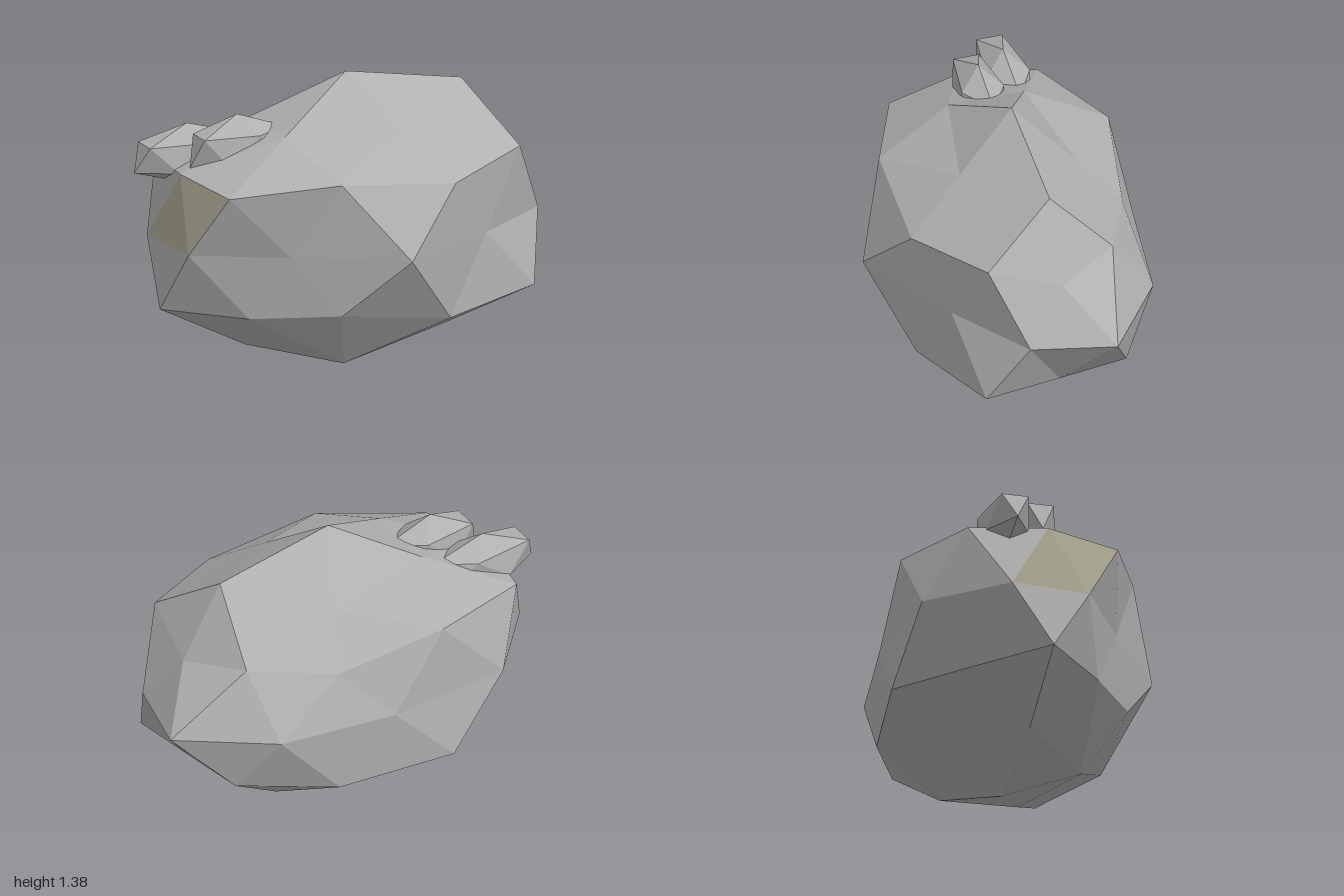
import * as THREE from 'three';

const stone = new THREE.MeshStandardMaterial({ color: 0xb0b0b0, flatShading: true });
stone.name = 'grey stone';
const moss = new THREE.MeshStandardMaterial({ color: 0xa6a48e, flatShading: true });
moss.name = 'mossy stone';

// One ring of directions on a sphere, each pushed out to its own radius and stretched sideways
function ring(radii, startDeg, heights) {
  const step = 360 / radii.length;
  return radii.map((r, i) => {
    const a = THREE.MathUtils.degToRad(startDeg + i * step);
    const h = heights[i % heights.length];
    const w = Math.sqrt(1 - h * h);
    return [1.56 * r * w * Math.cos(a), 0.66 + r * h, -0.06 - r * w * Math.sin(a)];
  });
}

function mesh(faces, material, name) {
  const g = new THREE.BufferGeometry();
  g.setAttribute('position', new THREE.Float32BufferAttribute(faces.flat(2), 3));
  g.computeVertexNormals();
  const m = new THREE.Mesh(g, material);
  m.name = name;
  return m;
}

// Boulder: a once-divided icosahedron with uneven radii, from the crown down
function boulder() {
  const top = [0, 1.387, -0.06], bottom = [0, 0.005, -0.06];
  const A = ring([0.725, 0.545, 0.6, 0.6, 0.6], 0, [0.8507]);
  const B = ring([0.57, 0.59, 0.55, 0.69, 0.71, 0.64, 0.68, 0.69, 0.68, 0.685], 0, [0.4472, 0.5257]);
  const E = ring([0.672, 0.63, 0.59, 0.675, 0.627, 0.605, 0.525, 0.725, 0.557, 0.607], 18, [0]);
  const L = ring([0.57, 0.637, 0.655, 0.717, 0.62, 0.685, 0.595, 0.63, 0.68, 0.705], 0, [-0.5257, -0.4472]);
  const D = ring([0.61, 0.555, 0.63, 0.68, 0.6], 36, [-0.8507]);
  const plain = [], mossy = [];

  // crown and underside
  for (let k = 0; k < 5; k++) {
    const n = (k + 1) % 5, j = 2 * k, j1 = j + 1, j2 = (j + 2) % 10, p = (j + 9) % 10;
    plain.push(
      [top, A[k], A[n]], [A[k], B[p], B[j]], [A[k], B[j], B[j1]], [A[k], B[j1], A[n]],
      [L[j], D[k], L[j1]], [L[j1], D[k], L[j2]], [L[j2], D[k], D[n]], [bottom, D[n], D[k]]
    );
  }
  // sides
  for (let j = 0; j < 10; j++) {
    const n = (j + 1) % 10, p = (j + 9) % 10;
    (j === 5 ? mossy : plain).push([B[j], E[j], B[n]], [B[j], E[p], E[j]]);
    plain.push([E[p], L[j], E[j]], [L[j], L[n], E[j]]);
  }
  const g = new THREE.Group();
  g.name = 'boulder';
  g.add(mesh(plain, stone, 'boulderStone'), mesh(mossy, moss, 'mossyFaces'));
  return g;
}

// Pebble: a stretched icosahedron standing on its point
function pebble(name, position, size) {
  const g = new THREE.IcosahedronGeometry(1, 0);
  g.rotateZ(-0.5536);
  g.scale(...size);
  const m = new THREE.Mesh(g, stone);
  m.position.set(...position);
  m.name = name;
  return m;
}

export function createModel() {
  const model = new THREE.Group();
  model.name = 'rock';
  model.add(
    boulder(),
    pebble('frontPebble', [-0.555, 1.09, -0.07], [0.27, 0.16, 0.12]),
    pebble('backPebble', [-0.73, 1.035, -0.245], [0.302, 0.145, 0.122])
  );
  return model;
}
